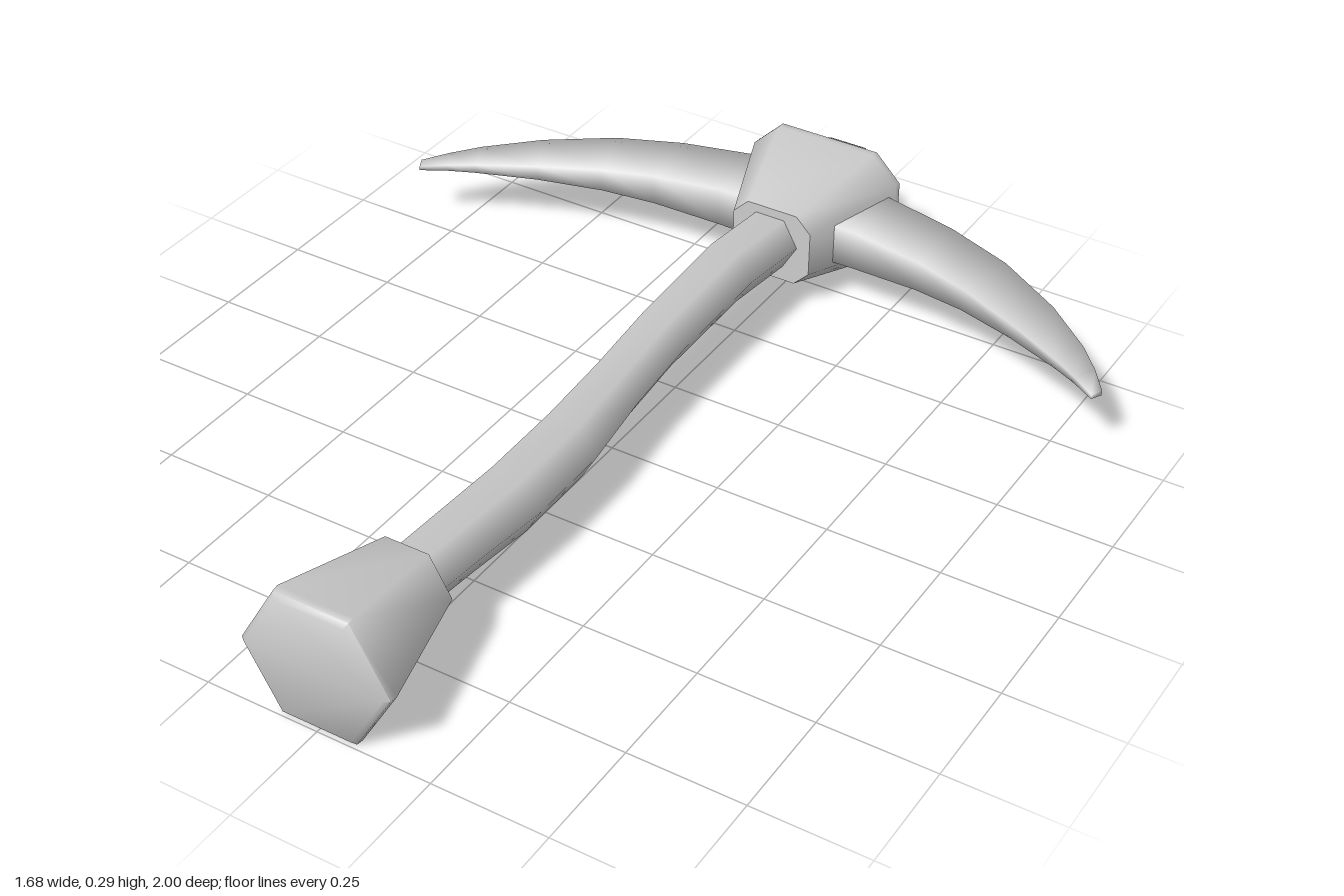
import * as THREE from 'three';
import { toCreasedNormals } from 'three/addons/utils/BufferGeometryUtils.js';

const MID = 0.147; // height of the tool's axis

// Skin a list of rings (counter-clockwise about the direction of travel) and cap both ends.
function loft(name, rings, crease) {
  const n = rings[0].length;
  const pos = rings.flat(2);
  const index = [];
  for (let i = 0; i < rings.length - 1; i++) {
    for (let j = 0; j < n; j++) {
      const a = i * n + j, b = i * n + (j + 1) % n;
      index.push(a, b, b + n, a, b + n, a + n);
    }
  }
  const last = (rings.length - 1) * n;
  for (let j = 1; j < n - 1; j++) {
    index.push(0, j + 1, j, last, last + j, last + j + 1);
  }
  const geo = new THREE.BufferGeometry();
  geo.setAttribute('position', new THREE.Float32BufferAttribute(pos, 3));
  geo.setIndex(index);
  const mesh = new THREE.Mesh(
    toCreasedNormals(geo, crease),
    new THREE.MeshStandardMaterial({ color: 0xcccccc })
  );
  mesh.name = name;
  return mesh;
}

// Hexagon with corners at +x and -x
function hexRing(z, r, x = 0, y = MID) {
  return Array.from({ length: 6 }, (_, i) => {
    const a = i * Math.PI / 3;
    return [x + r * Math.cos(a), y + r * Math.sin(a), z];
  });
}

// Rectangle with cut corners
function cutRing(z, w, h, c) {
  return [
    [w, -h + c], [w, h - c], [w - c, h], [-w + c, h],
    [-w, h - c], [-w, -h + c], [-w + c, -h], [w - c, -h],
  ].map(([x, y]) => [x, y + MID, z]);
}

export function createModel() {
  const group = new THREE.Group();
  group.name = 'pickaxe';

  // Wavy wooden shaft: z, centre x, centre y, radius
  const shaft = [
    [-0.95, 0, 0.147, 0.066], [-0.65, -0.005, 0.153, 0.069],
    [-0.47, -0.014, 0.164, 0.069], [-0.2, -0.014, 0.153, 0.066],
    [0, -0.004, 0.142, 0.066], [0.19, 0.009, 0.133, 0.074],
    [0.39, 0.011, 0.133, 0.074], [0.55, 0.004, 0.14, 0.07],
    [0.72, -0.002, 0.147, 0.067], [0.8, -0.002, 0.147, 0.067],
  ];
  group.add(loft('shaft', shaft.map(([z, x, y, r]) => hexRing(z, r, x, y)), 1.2));

  // Flared grip end
  group.add(loft('pommel', [
    hexRing(0.705, 0.098), hexRing(0.975, 0.167), hexRing(0.99, 0.165), hexRing(1, 0.153),
  ], 1.1));

  // Flared knob behind the head
  group.add(loft('endKnob', [
    hexRing(-1, 0.087), hexRing(-0.99, 0.093), hexRing(-0.92, 0.069), hexRing(-0.88, 0.066),
  ], 1.1));

  // Tapered socket holding the blades
  group.add(loft('headSocket', [
    cutRing(-0.92, 0.16, 0.118, 0.05),
    cutRing(-0.905, 0.178, 0.136, 0.06),
    cutRing(-0.885, 0.178, 0.138, 0.06),
    cutRing(-0.65, 0.095, 0.086, 0.035),
  ], 0.9));

  // Curved blades: back edge x, z, then front edge x, z, then half height
  const half = [
    [0, -0.875, 0, -0.72, 0.065],
    [0.17, -0.868, 0.17, -0.716, 0.058],
    [0.34, -0.845, 0.33, -0.7, 0.045],
    [0.49, -0.8, 0.45, -0.672, 0.034],
    [0.64, -0.718, 0.59, -0.62, 0.022],
    [0.75, -0.63, 0.72, -0.56, 0.013],
    [0.8, -0.575, 0.775, -0.53, 0.009],
    [0.84, -0.52, 0.828, -0.495, 0.006],
  ];
  const mirrored = half.slice(1).reverse().map(([bx, bz, fx, fz, h]) => [-bx, bz, -fx, fz, h]);
  const blade = [...mirrored, ...half].map(([bx, bz, fx, fz, h]) => [
    [bx, MID + h, bz], [fx, MID + h * 0.78, fz],
    [fx, MID - h * 0.78, fz], [bx, MID - h, bz],
  ]);
  group.add(loft('blades', blade, 1.75));

  return group;
}
